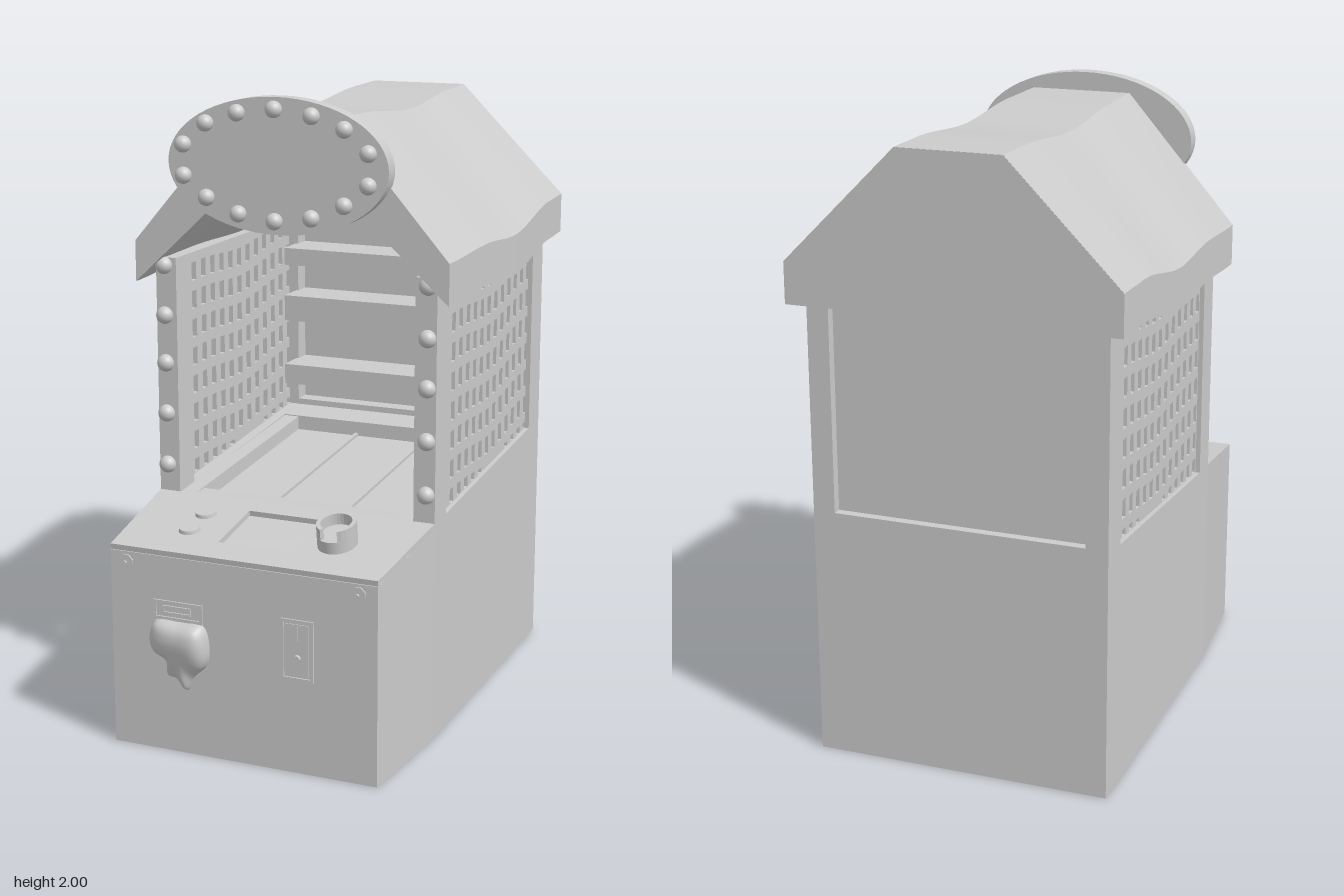
import * as THREE from 'three';
import { toCreasedNormals } from 'three/addons/utils/BufferGeometryUtils.js';
import { ParametricGeometry } from 'three/addons/geometries/ParametricGeometry.js';

const CX = -0.008; // middle of the cabinet
const W = 0.472, NOSE = 0.442; // half widths of the body and of its front face
const mat = new THREE.MeshStandardMaterial({ color: 0xcccccc, side: THREE.DoubleSide });

function add(parent, name, geometry, x = 0, y = 0, z = 0) {
  const mesh = new THREE.Mesh(geometry, mat);
  mesh.name = name;
  mesh.position.set(x, y, z);
  parent.add(mesh);
  return mesh;
}

// box given by its limits
function block(parent, name, x0, x1, y0, y1, z0, z1) {
  return add(parent, name, new THREE.BoxGeometry(x1 - x0, y1 - y0, z1 - z0),
    (x0 + x1) / 2, (y0 + y1) / 2, (z0 + z1) / 2);
}

const loop = (pts) => pts.map((p) => new THREE.Vector2(p[0], p[1]));
const rect = (x0, x1, y0, y1) => loop([[x0, y0], [x1, y0], [x1, y1], [x0, y1]]);
const flat = (shape, depth, steps = 1) =>
  new THREE.ExtrudeGeometry(shape, { depth, steps, bevelEnabled: false });

// side profile given as (z, y) points, extruded from x0 to x1
function sideSlab(pts, x0, x1, holes = []) {
  const flip = (ps) => loop(ps.map(([z, y]) => [-z, y]));
  const shape = new THREE.Shape(flip(pts));
  shape.holes = holes.map((h) => new THREE.Path(flip(h)));
  return flat(shape, x1 - x0).rotateY(Math.PI / 2).translate(x0, 0, 0);
}

// rectangular frame with a rectangular opening
function frame(x0, x1, y0, y1, border, depth) {
  const shape = new THREE.Shape(rect(x0, x1, y0, y1));
  shape.holes.push(new THREE.Path(rect(x0 + border, x1 - border, y0 + border, y1 - border)));
  return flat(shape, depth);
}

function move(geometry, rule) {
  const p = geometry.attributes.position, v = new THREE.Vector3();
  for (let i = 0; i < p.count; i++) {
    v.fromBufferAttribute(p, i);
    rule(v);
    p.setXYZ(i, v.x, v.y, v.z);
  }
  geometry.computeVertexNormals();
  return geometry;
}

// smooth curve through [z, value] pairs
function wave(pairs) {
  return (z) => {
    let i = 0;
    while (i < pairs.length - 2 && z < pairs[i + 1][0]) i++;
    const [a, b] = [pairs[i], pairs[i + 1]];
    return a[1] + (b[1] - a[1]) * THREE.MathUtils.smoothstep(-z, -a[0], -b[0]);
  };
}
const eaveWave = wave([[0.36, 0], [0.05, 0.012], [-0.2, -0.003], [-0.6, 0.05], [-0.765, 0.053]]);
const ridgeWave = wave([[0.36, 0], [0.15, -0.003], [-0.2, -0.027], [-0.6, 0], [-0.765, 0.003]]);
const sillY = (z) => 0.715 + (0.22 - z) * 0.078;

function buildBase(g) {
  // rear block whose top is the sloping playfield floor
  add(g, 'base', sideSlab([[0.32, 0], [0.32, 0.71], [0.25, 0.71], [0.25, 0.665], [-0.5, 0.72],
    [-0.5, 0.77], [-0.62, 0.78], [-0.62, 0.8], [-0.73, 0.8], [-0.73, 0]], CX - W, CX + W));
  // front console narrows toward the player
  const nose = sideSlab([[0.71, 0], [0.71, 0.632], [0.32, 0.694], [0.32, 0]], -W, W);
  add(g, 'console', move(nose, (v) => { if (v.z > 0.5) v.x *= NOSE / W; }), CX);
  // tray rims and floor rails
  for (const s of [-1, 1]) {
    add(g, 'trayRim', sideSlab([[0.32, 0.6], [0.32, 0.71], [-0.62, 0.775], [-0.62, 0.6]],
      -0.03, 0.03), CX + s * 0.38);
    add(g, 'floorRail', sideSlab([[0.25, 0.66], [0.25, 0.675], [-0.5, 0.73], [-0.5, 0.71]],
      -0.006, 0.006), CX + s * 0.125);
  }
}

function buildSideWall(g, s) {
  const wall = new THREE.Group();
  wall.name = s > 0 ? 'leftWall' : 'rightWall';
  wall.position.x = CX + s * (W - 0.035);
  g.add(wall);
  const opening = [[0.22, sillY(0.22)], [0.22, 1.45], [-0.62, 1.45], [-0.62, sillY(-0.62)]];
  add(wall, 'wallFrame', sideSlab([[0.32, 0.6], [0.32, 1.475], [-0.73, 1.475], [-0.73, 0.6]],
    -0.035, 0.035, [opening]));
  // lattice with rows that follow the sagging roof
  const holes = [];
  for (let c = 0; c < 13; c++) {
    const z = 0.195 - c * 0.0672;
    for (let r = 0; r < 8; r++) {
      const y = 1.395 - r * 0.094 + eaveWave(z) * 0.8 - 0.005;
      const y0 = Math.max(y - 0.03, sillY(z) + 0.002), y1 = y + 0.03;
      if (y1 - y0 > 0.012) {
        holes.push([[z - 0.016, y0], [z + 0.016, y0], [z + 0.016, y1], [z - 0.016, y1]]);
      }
    }
  }
  add(wall, 'lattice', sideSlab([[0.24, 0.68], [0.24, 1.475], [-0.64, 1.475], [-0.64, 0.68]],
    -0.01, 0.01, holes), s * 0.01);
  for (const y of [0.8, 0.97, 1.135, 1.29, 1.45]) {
    add(wall, 'postBulb', new THREE.SphereGeometry(0.028, 20, 14), s * 0.006, y, 0.322);
  }
}

function buildBack(g) {
  block(g, 'backPanel', CX - 0.41, CX + 0.41, 0.79, 1.56, -0.7, -0.68);
  for (const [y0, y1] of [[0.88, 0.95], [1.11, 1.2], [1.31, 1.37]]) {
    block(g, 'targetShelf', CX - 0.41, CX + 0.41, y0, y1, -0.69, -0.52);
  }
}

function buildRoof(g) {
  // hollow shell with drop edges along both eaves
  const section = new THREE.Shape(loop([[-0.53, 1.4], [-0.175, 1.73], [0.155, 1.73], [0.515, 1.4],
    [0.515, 1.53], [0.155, 1.94], [-0.175, 1.94], [-0.53, 1.53]]));
  const roof = flat(section, 1.125, 32).translate(0, 0, -0.765);
  move(roof, (v) => {
    const t = THREE.MathUtils.clamp((v.y - 1.53) / 0.41, 0, 1);
    v.y += THREE.MathUtils.lerp(eaveWave(v.z), ridgeWave(v.z), t);
    if (v.x > 0) v.x += 0.015 * Math.sin(Math.PI * (0.36 - v.z) / 1.125);
  });
  add(g, 'roof', toCreasedNormals(roof, 0.4));
  const gable = new THREE.Shape(loop([[-0.53, 1.453], [0.515, 1.453], [0.515, 1.582],
    [0.155, 1.942], [-0.175, 1.942], [-0.53, 1.582]]));
  add(g, 'backGable', flat(gable, 0.037), 0, 0, -0.766);
}

function buildSign(g) {
  const sign = new THREE.Group();
  sign.name = 'ovalSign';
  sign.position.set(-0.024, 1.793, 0.375);
  g.add(sign);
  const plate = new THREE.CylinderGeometry(1, 1, 0.05, 64).rotateX(Math.PI / 2).scale(0.362, 0.207, 1);
  add(sign, 'signPlate', plate);
  const bulb = (x, y) => add(sign, 'signBulb', new THREE.SphereGeometry(0.026, 20, 14), x, y, 0.043);
  for (const y of [0.172, -0.163]) bulb(0, y);
  for (const [x, y] of [[0.122, 0.157], [0.227, 0.122], [0.303, 0.055],
    [0.303, -0.04], [0.226, -0.103], [0.12, -0.147]]) {
    for (const s of [-1, 1]) bulb(s * x, y);
  }
}

function buildControls(g) {
  // group lies on the sloping console top
  const panel = new THREE.Group();
  panel.name = 'controls';
  panel.position.set(0, 0.65, 0.71);
  panel.rotation.x = 0.157;
  g.add(panel);
  // top plate with a sunken screen
  const top = new THREE.Shape(loop([[CX - NOSE, 0], [CX + NOSE, 0], [CX + W, 0.395], [CX - W, 0.395]]));
  top.holes.push(new THREE.Path(rect(-0.13, 0.12, 0.1, 0.325)));
  add(panel, 'panelPlate', flat(top, 0.02).rotateX(-Math.PI / 2), 0, -0.02);
  for (const z of [-0.15, -0.265]) {
    add(panel, 'button', new THREE.CylinderGeometry(0.032, 0.035, 0.014, 28), -0.253, 0.004, z);
  }
  // cup-shaped dial, its rim open toward the player
  add(panel, 'dialBase', new THREE.CylinderGeometry(0.06, 0.06, 0.04, 36).scale(1, 1, 1.2), 0.228, 0.018, -0.19);
  const arc = new THREE.Shape();
  arc.absarc(0, 0, 0.06, -1.1, Math.PI + 1.1, false);
  arc.absarc(0, 0, 0.047, Math.PI + 1.1, -1.1, true);
  add(panel, 'dialRim', flat(arc, 0.037).rotateX(-Math.PI / 2).scale(1, 1, 1.2), 0.228, 0.037, -0.19);
}

function buildFrontFittings(g) {
  const z = 0.71;
  // coin slot
  add(g, 'coinPlate', frame(-0.305, -0.138, 0.43, 0.492, 0.01, 0.005), 0, 0, z);
  add(g, 'coinSlot', frame(-0.272, -0.178, 0.45, 0.476, 0.006, 0.005), 0, 0, z);
  // sculpted drip: rings shrink from its outline toward a domed middle
  const edge = new THREE.CatmullRomCurve3([[-0.3, 0.425], [-0.318, 0.365], [-0.305, 0.325],
    [-0.262, 0.3], [-0.256, 0.25], [-0.222, 0.242], [-0.192, 0.21], [-0.17, 0.255], [-0.126, 0.3],
    [-0.116, 0.35], [-0.135, 0.425], [-0.21, 0.43]].map((p) => new THREE.Vector3(...p, 0)), true);
  const middle = new THREE.Vector3(-0.212, 0.35, 0);
  const drip = new ParametricGeometry((u, v, target) => {
    edge.getPoint(u % 1, target).lerp(middle, v);
    const high = 0.035 + 0.02 * THREE.MathUtils.smoothstep(target.y, 0.26, 0.38) + (target.x + 0.21) * 0.12;
    target.z = high * Math.pow(1 - (1 - v) ** 4, 0.5);
  }, 72, 14);
  add(g, 'drip', drip, 0, 0, z);
  // card reader
  add(g, 'readerFrame', frame(0.124, 0.23, 0.3, 0.493, 0.009, 0.005), 0, 0, z);
  block(g, 'readerPlate', 0.14, 0.214, 0.315, 0.478, z - 0.01, z + 0.003);
  block(g, 'readerSlit', 0.174, 0.18, 0.425, 0.475, z, z + 0.005);
  const disc = (r, d, sides = 24) => new THREE.CylinderGeometry(r, r, d, sides).rotateX(Math.PI / 2);
  add(g, 'readerButton', disc(0.011, 0.014), 0.178, 0.372, z + 0.007);
  // corner bolts
  for (const s of [-1, 1]) {
    add(g, 'boltStem', disc(0.006, 0.026), CX + s * 0.384, 0.602, z + 0.01);
    add(g, 'boltHead', disc(0.027, 0.005, 8).rotateZ(Math.PI / 8), CX + s * 0.384, 0.602, z + 0.013);
  }
}

export function createModel() {
  const g = new THREE.Group();
  g.name = 'arcadeBooth';
  buildBase(g);
  for (const s of [-1, 1]) buildSideWall(g, s);
  buildBack(g);
  buildRoof(g);
  buildSign(g);
  buildControls(g);
  buildFrontFittings(g);
  return g;
}
